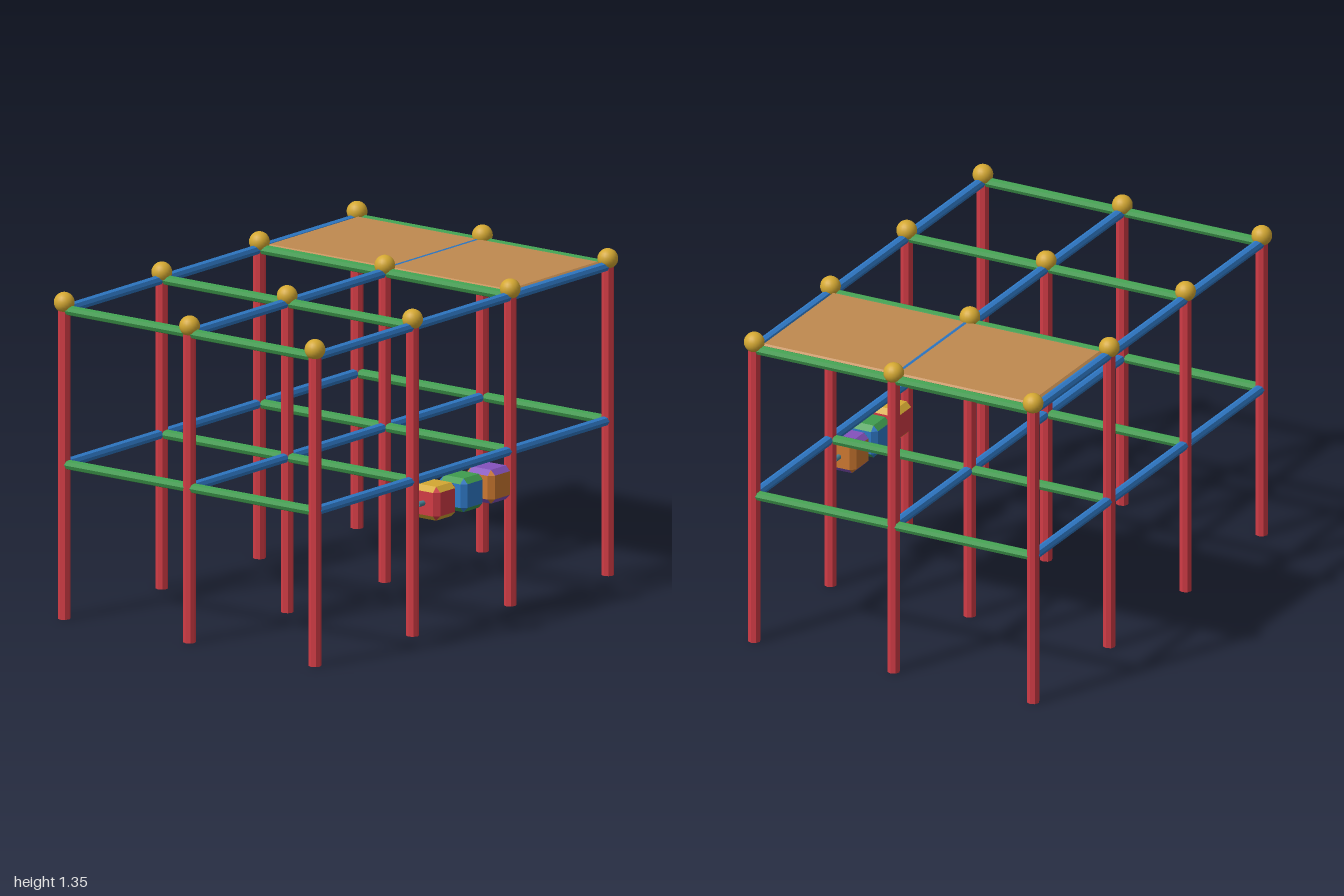
import * as THREE from 'three';
import { ConvexGeometry } from 'three/addons/geometries/ConvexGeometry.js';

const paint = (name, color, flatShading = false) => {
  const m = new THREE.MeshStandardMaterial({ color, flatShading });
  m.name = name;
  return m;
};

// Box with all edges and corners chamfered by c; sloped-up faces go to group 1
function chamferBox(w, h, d, c) {
  const [a, b, e] = [w / 2, h / 2, d / 2];
  const pts = [];
  for (const x of [-1, 1]) for (const y of [-1, 1]) for (const z of [-1, 1]) {
    pts.push(
      new THREE.Vector3(x * a, y * (b - c), z * (e - c)),
      new THREE.Vector3(x * (a - c), y * b, z * (e - c)),
      new THREE.Vector3(x * (a - c), y * (b - c), z * e));
  }
  const g = new ConvexGeometry(pts);
  const n = g.attributes.normal;
  for (let i = 0; i < n.count; i += 3) g.addGroup(i, 3, Math.abs(n.getY(i)) > 0.65 ? 1 : 0);
  return g;
}

export function createModel() {
  const model = new THREE.Group();
  model.name = 'climbingFrame';

  const red = paint('red', 0xd13b45, true);
  const blue = paint('blue', 0x2f7ac8, true);
  const green = paint('green', 0x3f9c4e, true);
  const yellow = paint('yellow', 0xd4a832);
  const orange = paint('orange', 0xcc7830);
  const purple = paint('purple', 0x8452bd);
  const wood = paint('wood', 0xc08a50);
  const steel = paint('steel', 0x4a8296);

  const add = (name, geo, mat, x, y, z) => {
    const m = new THREE.Mesh(geo, mat);
    m.name = name;
    m.position.set(x, y, z);
    model.add(m);
    return m;
  };

  const step = 0.638;
  const xs = [-1.5, -0.5, 0.5, 1.5].map(k => k * step);
  const zs = [0.627, 0.627 - step, 0.627 - 2 * step];
  const levels = [0.64, 1.279];

  // Posts with ball caps
  const postGeo = new THREE.CylinderGeometry(0.026, 0.026, 1.29, 8);
  const ballGeo = new THREE.SphereGeometry(0.042, 20, 14);
  for (const x of xs) for (const z of zs) {
    add('post', postGeo, red, x, 0.645, z);
    add('ballCap', ballGeo, yellow, x, 1.309, z);
  }

  // Rails on both levels
  const railGeo = new THREE.CylinderGeometry(0.021, 0.021, step - 0.03, 8);
  for (const y of levels) {
    for (const z of zs) for (let i = 0; i < 3; i++) {
      add('lengthRail', railGeo, blue, xs[i] + step / 2, y, z).rotation.z = Math.PI / 2;
    }
    for (const x of xs) for (let i = 0; i < 2; i++) {
      add('crossRail', railGeo, green, x, y, zs[i] - step / 2).rotation.x = Math.PI / 2;
    }
  }

  // Roof deck over the end bay
  add('deck', chamferBox(0.606, 0.036, 1.246, 0.014), [wood, wood], step, 1.279, zs[1]);

  // Spinning play blocks on an axle
  const axle = new THREE.CylinderGeometry(0.011, 0.011, 0.57, 10);
  add('axle', axle, steel, 0, 0.534, zs[0]).rotation.z = Math.PI / 2;
  const blockGeo = chamferBox(0.14, 0.14, 0.14, 0.021);
  [[red, yellow], [blue, green], [orange, purple]].forEach((mats, i) =>
    add('playBlock', blockGeo, mats, (i - 1) * 0.179, 0.534, zs[0]));

  return model;
}
